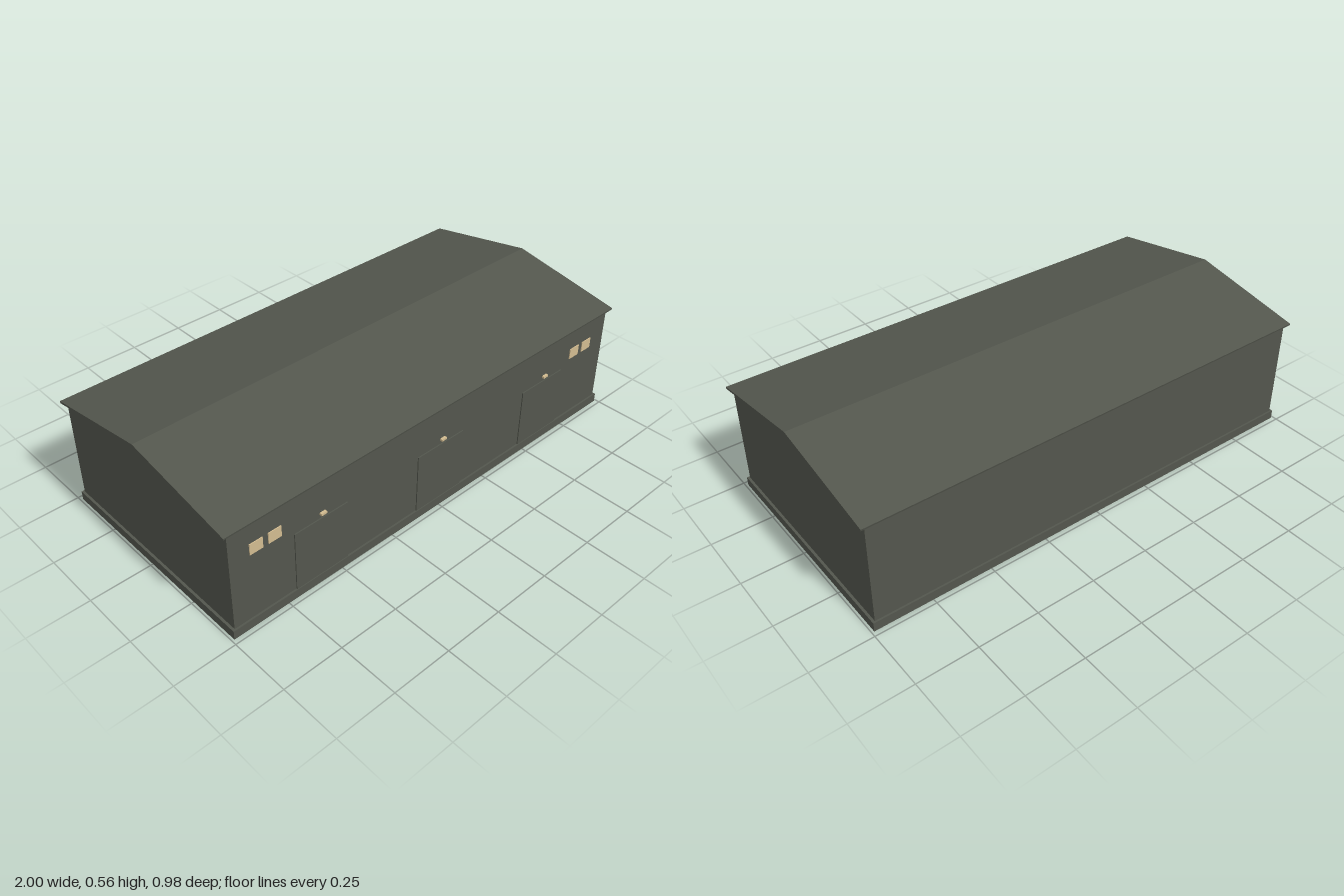
import * as THREE from 'three';

const mat = (name, color) => {
  const m = new THREE.MeshStandardMaterial({ color });
  m.name = name;
  return m;
};

export function createModel() {
  const group = new THREE.Group();
  const cladding = mat('dark grey cladding', 0x53564d);
  const glow = mat('warm light', 0xd2bb90);

  const add = (name, geometry, material) => {
    const mesh = new THREE.Mesh(geometry, material);
    mesh.name = name;
    group.add(mesh);
    return mesh;
  };
  const box = (name, material, w, h, d, x, y, z) =>
    add(name, new THREE.BoxGeometry(w, h, d), material).position.set(x, y, z);

  // Extrude a [z, y] outline along the length of the building
  const alongX = (name, points, length) => {
    const shape = new THREE.Shape(points.map(([z, y]) => new THREE.Vector2(-z, y)));
    const geo = new THREE.ExtrudeGeometry(shape, { depth: length, bevelEnabled: false });
    geo.translate(0, 0, -length / 2);
    geo.rotateY(Math.PI / 2);
    return add(name, geo, cladding);
  };

  // Plinth, gabled walls and thin pitched roof
  box('plinth', cladding, 1.98, 0.038, 0.96, 0, 0.019, 0);
  alongX('walls', [[-0.4725, 0.02], [0.4725, 0.02], [0.4725, 0.469], [0, 0.552], [-0.4725, 0.469]], 1.96);
  alongX('roof', [
    [-0.488, 0.473], [-0.486, 0.465], [0, 0.551], [0.486, 0.465], [0.488, 0.473], [0, 0.559],
  ], 2);

  // Three large doors, each with a lamp above
  for (const x of [-0.59, 0, 0.59]) {
    box('door', cladding, 0.24, 0.257, 0.006, x, 0.1665, 0.474);
    box('lampArm', cladding, 0.008, 0.006, 0.012, x, 0.325, 0.476);
    box('lamp', glow, 0.025, 0.009, 0.011, x, 0.325, 0.4855);
  }

  // Pairs of lit windows at both ends of the front
  for (const x of [-0.869, -0.791, 0.786, 0.864]) {
    box('window', glow, 0.055, 0.046, 0.005, x, 0.348, 0.4735);
  }

  return group;
}
